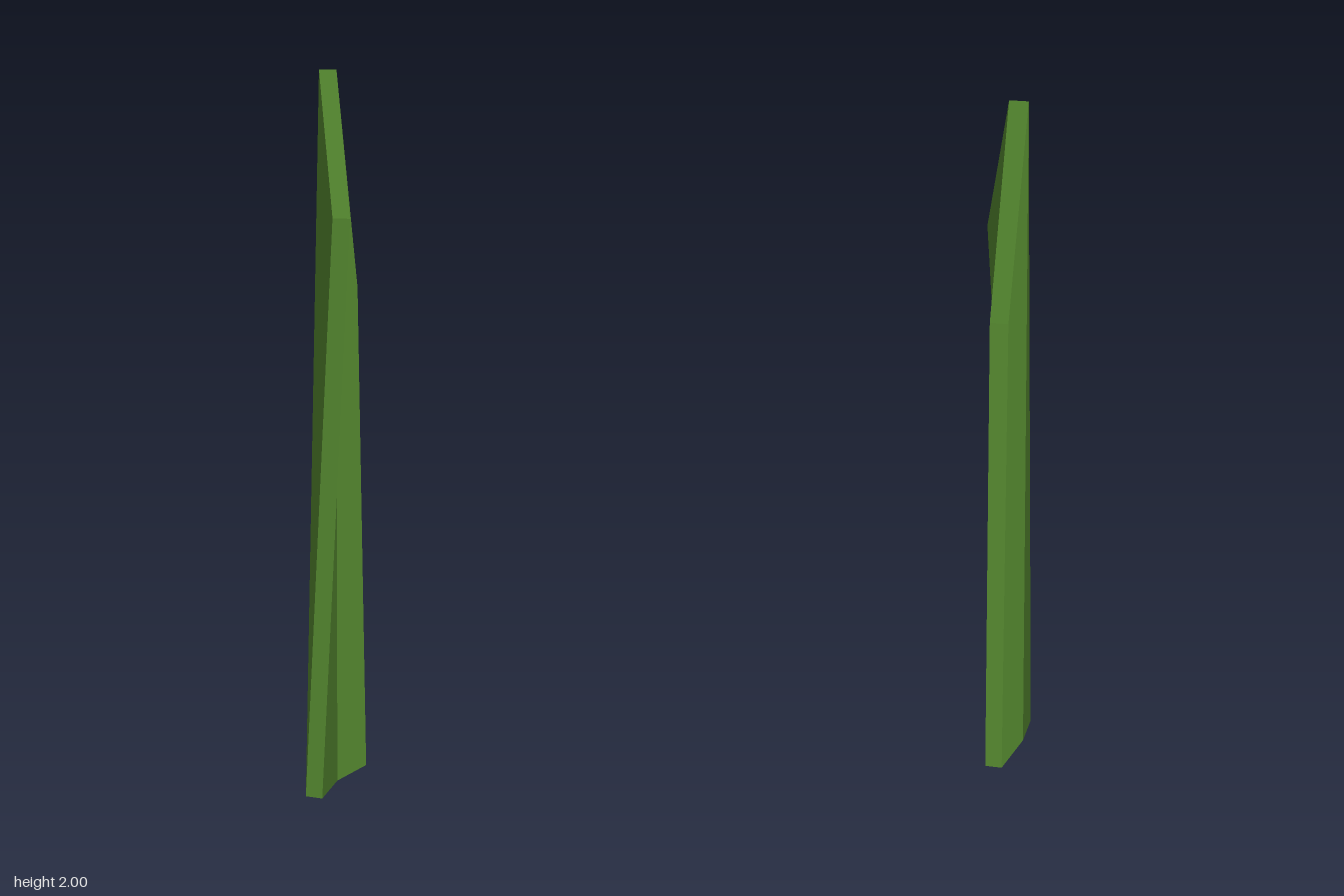
import * as THREE from 'three';

// Back outline of the folded blade, counter-clockwise seen from the front
const outline = [
  [-0.134, 0.0, -0.05],    // 0 right base corner
  [-0.025, 0.01, -0.077],  // 1 base of the fold
  [0.118, 0.01, -0.077],   // 2 left base corner
  [0.045, 1.42, -0.058],   // 3 left shoulder
  [-0.025, 2.0, -0.077],   // 4 tip, top of the fold
  [-0.105, 1.62, 0.025],   // 5 right shoulder
].map(p => new THREE.Vector3(...p));
const thickness = new THREE.Vector3(0.014, 0, 0.047);

// Flat-lit quads, each split along its first diagonal
function quadMesh(name, quads, material) {
  const pos = [], nor = [];
  for (const q of quads) {
    const n = q[2].clone().sub(q[0]).cross(q[3].clone().sub(q[1])).normalize();
    for (const i of [0, 1, 2, 0, 2, 3]) {
      pos.push(...q[i].toArray());
      nor.push(...n.toArray());
    }
  }
  const g = new THREE.BufferGeometry();
  g.setAttribute('position', new THREE.Float32BufferAttribute(pos, 3));
  g.setAttribute('normal', new THREE.Float32BufferAttribute(nor, 3));
  const mesh = new THREE.Mesh(g, material);
  mesh.name = name;
  return mesh;
}

export function createModel() {
  const group = new THREE.Group();
  group.name = 'grassBlade';
  const green = new THREE.MeshStandardMaterial({ color: 0x568a30 });
  const back = outline;
  const front = outline.map(p => p.clone().add(thickness));

  // Two wings meeting at the vertical fold
  const wings = { rightWing: [0, 1, 4, 5], leftWing: [2, 3, 4, 1] };
  for (const [name, ids] of Object.entries(wings)) {
    const [a, b, c, d] = ids;
    group.add(quadMesh(name, [
      ids.map(i => front[i]),
      [a, d, c, b].map(i => back[i]),
    ], green));
  }

  // Thin rim and base joining front to back
  group.add(quadMesh('rim', back.map((p, i) => {
    const j = (i + 1) % back.length;
    return [p, back[j], front[j], front[i]];
  }), green));

  return group;
}
